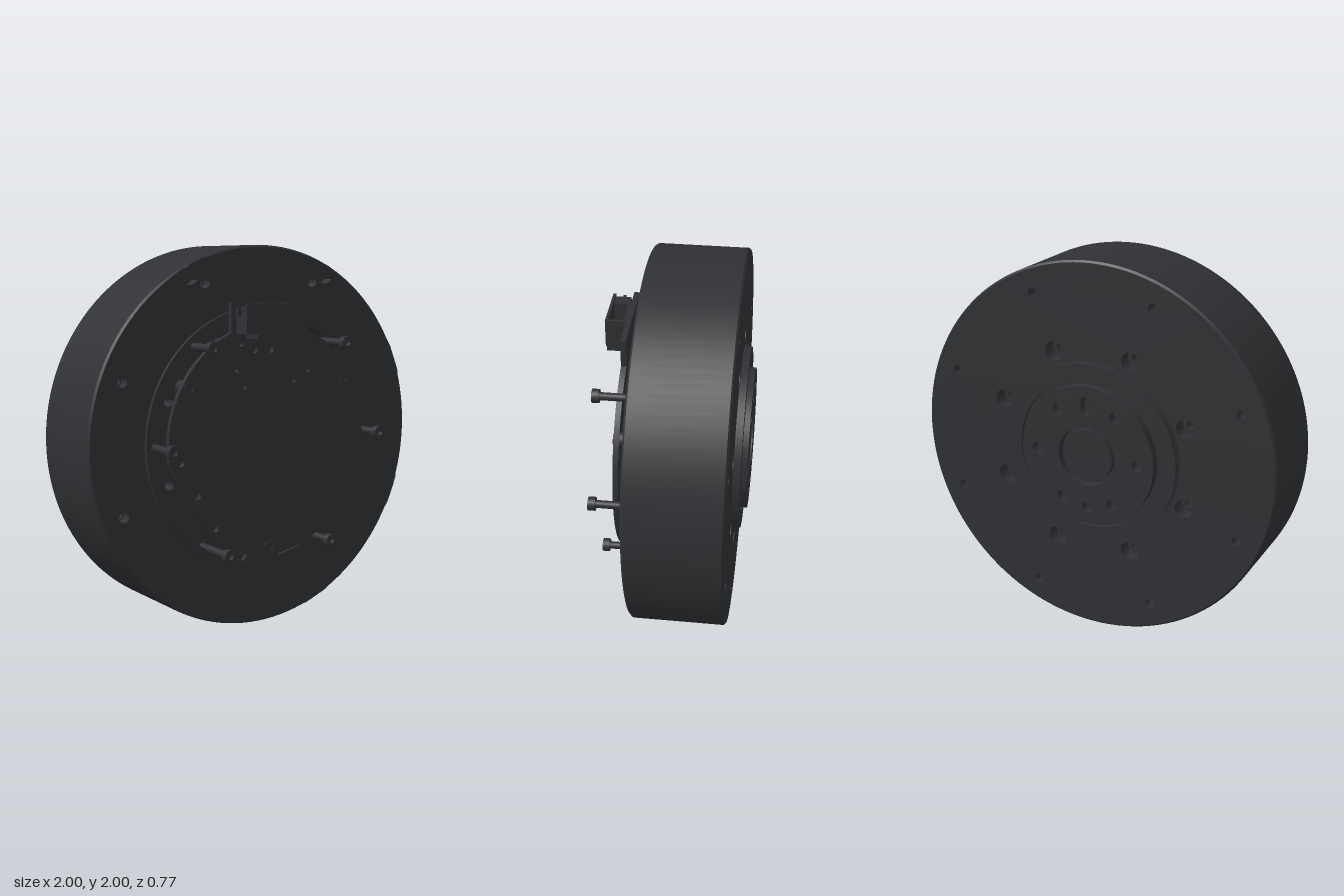
import * as THREE from 'three';
import { toCreasedNormals } from 'three/addons/utils/BufferGeometryUtils.js';

const rad = THREE.MathUtils.degToRad;
const material = new THREE.MeshStandardMaterial({ color: 0x303134 });
const polar = (r, deg) => [r * Math.cos(rad(deg)), r * Math.sin(rad(deg))];
const circle = (x, y, r, n = 24) => Array.from({ length: n }, (_, i) => {
  const a = (i / n) * Math.PI * 2;
  return new THREE.Vector2(x + r * Math.cos(a), y + r * Math.sin(a));
});

export function createModel() {
  const model = new THREE.Group();
  const drive = new THREE.Group();
  drive.name = 'wheelMotor';
  drive.position.y = 1;
  model.add(drive);

  const add = (name, geometry, x = 0, y = 0, z = 0) => {
    const mesh = new THREE.Mesh(geometry, material);
    mesh.name = name;
    mesh.position.set(x, y, z);
    drive.add(mesh);
    return mesh;
  };
  // Flat slab between z0 and z1 with holes given as point loops
  const slab = (name, outline, holes, z0, z1) => {
    const shape = new THREE.Shape(outline);
    shape.holes = holes.map((h) => new THREE.Path(h));
    const g = new THREE.ExtrudeGeometry(shape, { depth: z1 - z0, bevelEnabled: false });
    return add(name, toCreasedNormals(g, 0.5), 0, 0, z0);
  };
  const disc = (name, r, holes, z0, z1) => slab(name, circle(0, 0, r, 128), holes, z0, z1);
  // Cylinder along z
  const rod = (name, x, y, r, z0, z1) => {
    const g = new THREE.CylinderGeometry(r, r, z1 - z0, 24).rotateX(Math.PI / 2);
    return add(name, g, x, y, (z0 + z1) / 2);
  };
  const box = (name, x0, x1, y0, y1, z0, z1) =>
    add(name, new THREE.BoxGeometry(x1 - x0, y1 - y0, z1 - z0), (x0 + x1) / 2, (y0 + y1) / 2, (z0 + z1) / 2);

  // Hole patterns, repeated eight times around the axis
  const angles = Array.from({ length: 8 }, (_, i) => 22.5 + 45 * i);
  const ringOf = (r, size, offset = 0) => angles.map((a) => circle(...polar(r, a + offset), size));
  const pairs = (size) => [...ringOf(0.948, size, -4), ...ringOf(0.948, size, 4)];
  const through = ringOf(0.56, 0.026);

  // Round body: chamfered rim and four drilled layers
  const rimProfile = [[0.99, -0.32], [1, -0.31], [1, 0.16], [0.99, 0.17]].map((p) => new THREE.Vector2(...p));
  add('rim', toCreasedNormals(new THREE.LatheGeometry(rimProfile, 128).rotateX(Math.PI / 2), 0.5));
  disc('frontPlate', 0.99, [circle(0, 0, 0.66, 96), ...pairs(0.05), ...ringOf(0.876, 0.028)], 0.11, 0.17);
  disc('boltSeatLayer', 0.99, [...pairs(0.03), ...through, ...ringOf(0.876, 0.02)], 0.02, 0.11);
  disc('bodyCore', 0.99, through, -0.24, 0.02);
  disc('backPlate', 0.99, [...ringOf(0.56, 0.05), ...ringOf(0.87, 0.024)], -0.32, -0.24);

  // Stepped output hub on the back
  disc('hubBase', 0.49, [], -0.335, -0.32);
  disc('hubRing', 0.485, [circle(0, 0, 0.4, 96)], -0.357, -0.335);
  const hubHoles = [0, 55, 125, 180, 240, 270, 300].map((a) => circle(...polar(0.285, a), 0.03));
  const slot = circle(0, 0.27, 0.03).map((p) => p.setY(p.y + (p.y > 0.27 ? 0.025 : -0.015)));
  disc('hubFace', 0.375, [...hubHoles, slot, circle(0, 0, 0.16, 64)], -0.385, -0.335);
  disc('hubCentre', 0.14, [], -0.378, -0.335);

  // Cover ring, its inner edge reaching inward at the three standoffs
  const standoffAngles = [31, 149, 270];
  const innerEdge = Array.from({ length: 180 }, (_, i) => {
    const d = Math.min(...standoffAngles.map((a) => Math.abs(i * 2 - a)));
    const t = THREE.MathUtils.smoothstep(d, 5, 10);
    return new THREE.Vector2(...polar(0.52 + 0.135 * t, i * 2));
  });
  disc('coverRing', 0.69, [innerEdge], 0.11, 0.19);

  // Circuit board: round, with a top tab and a chord cut at lower right
  const board = new THREE.Shape();
  board.moveTo(-0.35, -0.5);
  board.absarc(0, 0, 0.61, rad(235), rad(360 + 64), false);
  board.lineTo(0.24, 0.56);
  board.lineTo(0.24, 0.7);
  board.lineTo(0.08, 0.71);
  board.lineTo(-0.24, 0.71);
  board.lineTo(-0.24, 0.56);
  board.absarc(0, 0, 0.61, rad(116), rad(187.6), false);
  const boardHoles = [
    [-0.54, -0.075, 0.02], [-0.445, -0.25, 0.02], [-0.34, -0.43, 0.02],
    [-0.1, 0.47, 0.02], [0, 0.47, 0.02], [-0.18, 0.5, 0.012], [-0.21, 0.37, 0.012],
    [-0.16, 0.28, 0.012], [0.15, 0.3, 0.012], [0.24, 0.35, 0.012],
  ].map((h) => circle(...h, 16));
  slab('circuitBoard', board.getPoints(48), boardHoles, 0.24, 0.268);

  // Standoffs with short fixing screws
  for (const a of standoffAngles) {
    const [x, y] = polar(0.566, a);
    rod('standoff', x, y, 0.04, 0.18, 0.24);
    slab('boardScrew', circle(x, y, 0.034), [circle(x, y, 0.016, 6)], 0.268, 0.273);
  }

  // Long socket-head screws in the cover ring
  for (const a of [0, 50, 130, 180, 240, 300]) {
    const [x, y] = polar(0.643, a);
    rod('screwShaft', x, y, 0.02, 0.11, 0.36);
    slab('screwHead', circle(x, y, 0.035), [circle(x, y, 0.017, 6)], 0.36, 0.385);
    rod('screwCollar', x, y, 0.035, 0.348, 0.36);
  }

  // Connector: open-topped housing whose floor has two round holes
  const floorOutline = [[-0.15, -0.37], [0.055, -0.37], [0.055, -0.268], [-0.15, -0.268]];
  const floorShape = new THREE.Shape(floorOutline.map((p) => new THREE.Vector2(...p)));
  floorShape.holes = [-0.1, 0].map((x) => new THREE.Path(circle(x, -0.318, 0.027)));
  const floorGeometry = new THREE.ExtrudeGeometry(floorShape, { depth: 0.06, bevelEnabled: false });
  add('connectorFloor', toCreasedNormals(floorGeometry.rotateX(-Math.PI / 2), 0.5), 0, 0.53, 0);
  box('connectorFront', -0.22, 0.055, 0.555, 0.705, 0.36, 0.375);
  box('connectorBack', -0.15, 0.055, 0.53, 0.705, 0.268, 0.284);
  box('connectorEnd', 0.04, 0.055, 0.53, 0.705, 0.28, 0.365);
  box('connectorPlug', -0.22, -0.145, 0.555, 0.69, 0.28, 0.362);
  box('connectorPin', 0.055, 0.07, 0.64, 0.69, 0.31, 0.325);
  box('connectorPin', -0.24, -0.22, 0.64, 0.69, 0.31, 0.325);

  return model;
}
